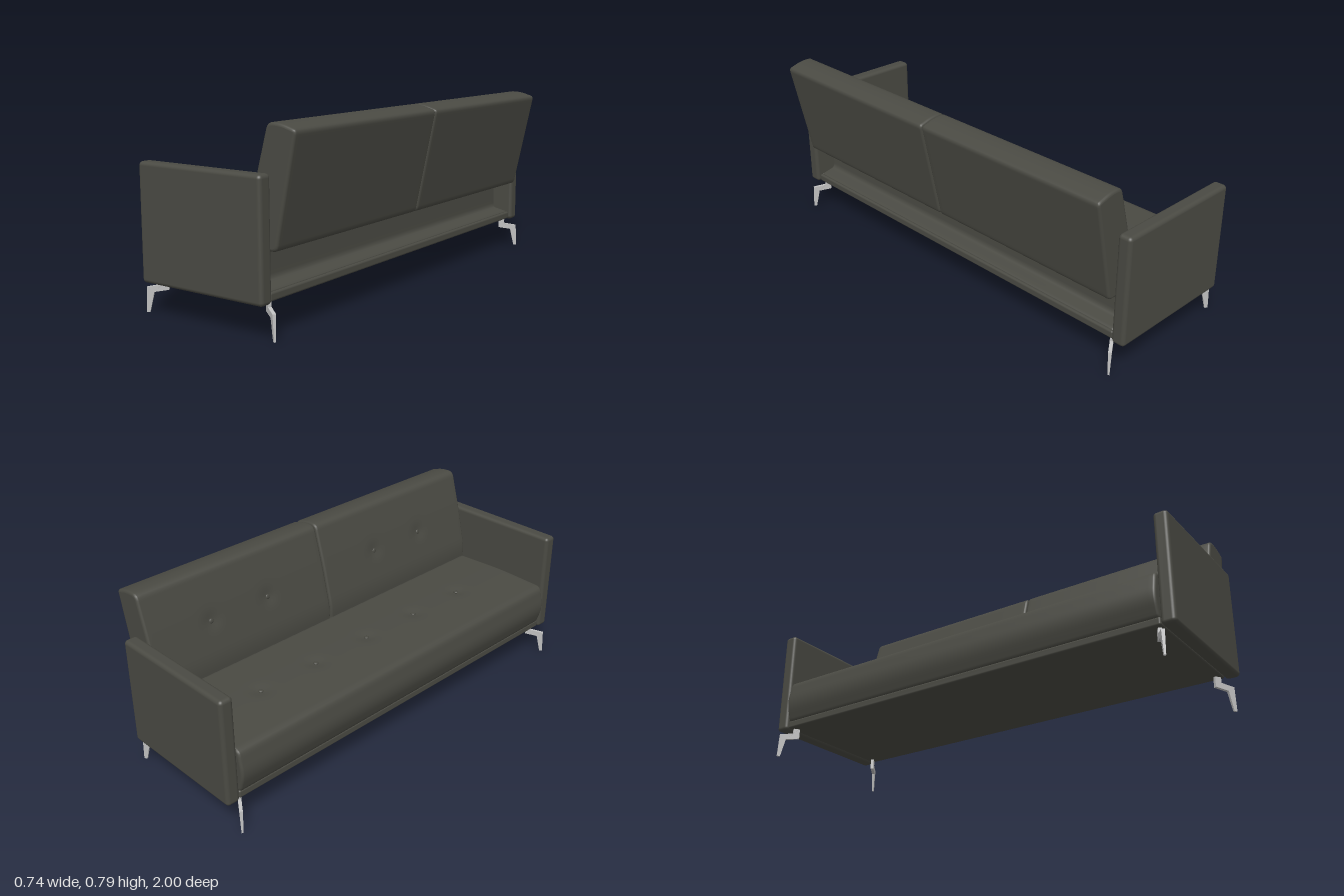
import * as THREE from 'three';
import { RoundedBoxGeometry } from 'three/addons/geometries/RoundedBoxGeometry.js';

// Closed outline with softened corners; each point is [x, y, radius]
function softOutline(points, count) {
  const shape = new THREE.Shape();
  const n = points.length;
  const v = points.map(([x, y]) => new THREE.Vector2(x, y));
  const toward = (a, b, r) => a.clone().add(b.clone().sub(a).setLength(r));
  for (let i = 0; i <= n; i++) {
    const p = v[i % n], r = points[i % n][2];
    const a = toward(p, v[(i + n - 1) % n], r);
    const b = toward(p, v[(i + 1) % n], r);
    if (i === 0) { shape.moveTo(b.x, b.y); continue; }
    shape.lineTo(a.x, a.y);
    shape.quadraticCurveTo(p.x, p.y, b.x, b.y);
  }
  return shape.getSpacedPoints(count).slice(0, count);
}

// Cushion: a counter-clockwise outline swept along z, soft at both ends,
// pressed in around each tuft [x, y, z]
function cushionGeometry(points, z0, z1, tufts, press) {
  const ring = softOutline(points, 120);
  const n = ring.length, round = 0.011;

  // Stations [z, inset]: rounded start, straight middle, rounded finish
  const ends = [0, 1, 2, 3, 4].map((i) => {
    const a = (i / 4) * Math.PI / 2;
    return [round * (1 - Math.cos(a)), round * (1 - Math.sin(a))];
  });
  const steps = Math.round((z1 - z0) / 0.018), middle = [];
  for (let i = 1; i < steps; i++) middle.push([z0 + round + (z1 - z0 - 2 * round) * i / steps, 0]);
  const stations = [
    ...ends.map(([dz, s]) => [z0 + dz, s]),
    ...middle,
    ...ends.map(([dz, s]) => [z1 - dz, s]).reverse(),
  ];

  const normals = ring.map((p, i) => {
    const a = ring[(i + n - 1) % n], b = ring[(i + 1) % n];
    return new THREE.Vector2(b.y - a.y, a.x - b.x).normalize();
  });
  const pos = [], index = [];
  for (const [z, inset] of stations) {
    ring.forEach((p, i) => {
      let d = inset;
      for (const t of tufts) {
        const q = (p.x - t[0]) ** 2 + (p.y - t[1]) ** 2 + (z - t[2]) ** 2;
        d += press * Math.exp(-q / 0.0014);
      }
      pos.push(p.x - normals[i].x * d, p.y - normals[i].y * d, z);
    });
  }
  for (let j = 0; j < stations.length - 1; j++) {
    for (let i = 0; i < n; i++) {
      const a = j * n + i, b = j * n + (i + 1) % n;
      index.push(a, b, b + n, a, b + n, a + n);
    }
  }
  // Flat end caps
  for (const start of [0, (stations.length - 1) * n]) {
    const base = pos.length / 3, contour = [];
    for (let i = 0; i < n; i++) {
      const k = (start + i) * 3;
      pos.push(pos[k], pos[k + 1], pos[k + 2]);
      contour.push(new THREE.Vector2(pos[k], pos[k + 1]));
    }
    for (const [a, b, c] of THREE.ShapeUtils.triangulateShape(contour, [])) {
      if (start > 0) index.push(base + a, base + b, base + c);
      else index.push(base + a, base + c, base + b);
    }
  }
  const g = new THREE.BufferGeometry();
  g.setAttribute('position', new THREE.Float32BufferAttribute(pos, 3));
  g.setIndex(index);
  g.computeVertexNormals();
  return g;
}

// Cranked metal leg, thinner toward the foot
function legGeometry() {
  const outline = [[-0.014, 0.138], [-0.014, 0.092], [0.045, 0.083], [0.064, 0],
    [0.078, 0], [0.073, 0.103], [0.014, 0.113], [0.014, 0.138]];
  const shape = new THREE.Shape(outline.map(([x, y]) => new THREE.Vector2(x, y)));
  const g = new THREE.ExtrudeGeometry(shape, { depth: 1, bevelEnabled: false });
  const p = g.attributes.position;
  for (let i = 0; i < p.count; i++) {
    const width = 0.008 + 0.006 * Math.min(1, p.getY(i) / 0.1);
    p.setZ(i, (p.getZ(i) - 0.5) * width);
  }
  g.computeVertexNormals();
  return g;
}

export function createModel() {
  const model = new THREE.Group();
  const leather = new THREE.MeshStandardMaterial({ color: 0x4a4a43 });
  leather.name = 'charcoal leather';
  const metal = new THREE.MeshStandardMaterial({ color: 0xc0c0c0 });
  metal.name = 'brushed metal';

  const add = (name, geometry, material, x = 0, y = 0, z = 0) => {
    const mesh = new THREE.Mesh(geometry, material);
    mesh.name = name;
    mesh.position.set(x, y, z);
    model.add(mesh);
    return mesh;
  };
  const buttonGeometry = new THREE.SphereGeometry(0.011, 16, 10);
  buttonGeometry.scale(1, 0.45, 1);

  // Base frame under the seat
  add('baseFrame', new RoundedBoxGeometry(0.59, 0.034, 1.87, 3, 0.008), leather, -0.045, 0.154, 0);

  // Long seat with one row of buttons
  const seatTufts = [-0.615, -0.315, -0.012, 0.29, 0.592].map((z) => [-0.095, 0.368, z]);
  const seatOutline = [[-0.338, 0.165, 0.01], [0.245, 0.165, 0.004], [0.24, 0.175, 0.004], [0.17, 0.19, 0.01],
    [0.165, 0.357, 0.02], [-0.095, 0.368, 0.08], [-0.343, 0.36, 0.025], [-0.366, 0.25, 0.04]];
  add('seat', cushionGeometry(seatOutline, -0.932, 0.932, seatTufts, 0.008), leather);
  for (const [x, y, z] of seatTufts) add('seatButton', buttonGeometry, leather, x, y - 0.007, z);

  // Two reclined back panels with two buttons each
  const backOutline = [[0.148, 0.325, 0.015], [0.279, 0.322, 0.02], [0.374, 0.764, 0.014],
    [0.305, 0.785, 0.03], [0.244, 0.786, 0.025], [0.191, 0.6, 0.05], [0.146, 0.41, 0.04]];
  for (const side of [-1, 1]) {
    const tufts = [0.325, 0.625].map((z) => [0.185, 0.574, side * z]);
    const [z0, z1] = side > 0 ? [0.004, 0.936] : [-0.932, 0];
    add('backPanel', cushionGeometry(backOutline, z0, z1, tufts, 0.008), leather);
    for (const [x, y, z] of tufts) {
      const button = add('backButton', buttonGeometry, leather, x + 0.008, y - 0.002, z);
      button.rotation.z = 1.32;
    }
  }

  // Armrests and legs
  const armGeometry = new RoundedBoxGeometry(0.609, 0.475, 0.061, 4, 0.016);
  const leg = legGeometry();
  for (const side of [-1, 1]) {
    add('armrest', armGeometry, leather, -0.0425, 0.3695, side * 0.9675);
    for (const end of [-1, 1]) {
      const mesh = add('leg', leg, metal, -0.0425 + end * 0.264, 0, side * 0.913);
      mesh.rotation.y = Math.atan2(-side * 0.042, end * 0.062);
    }
  }
  return model;
}
